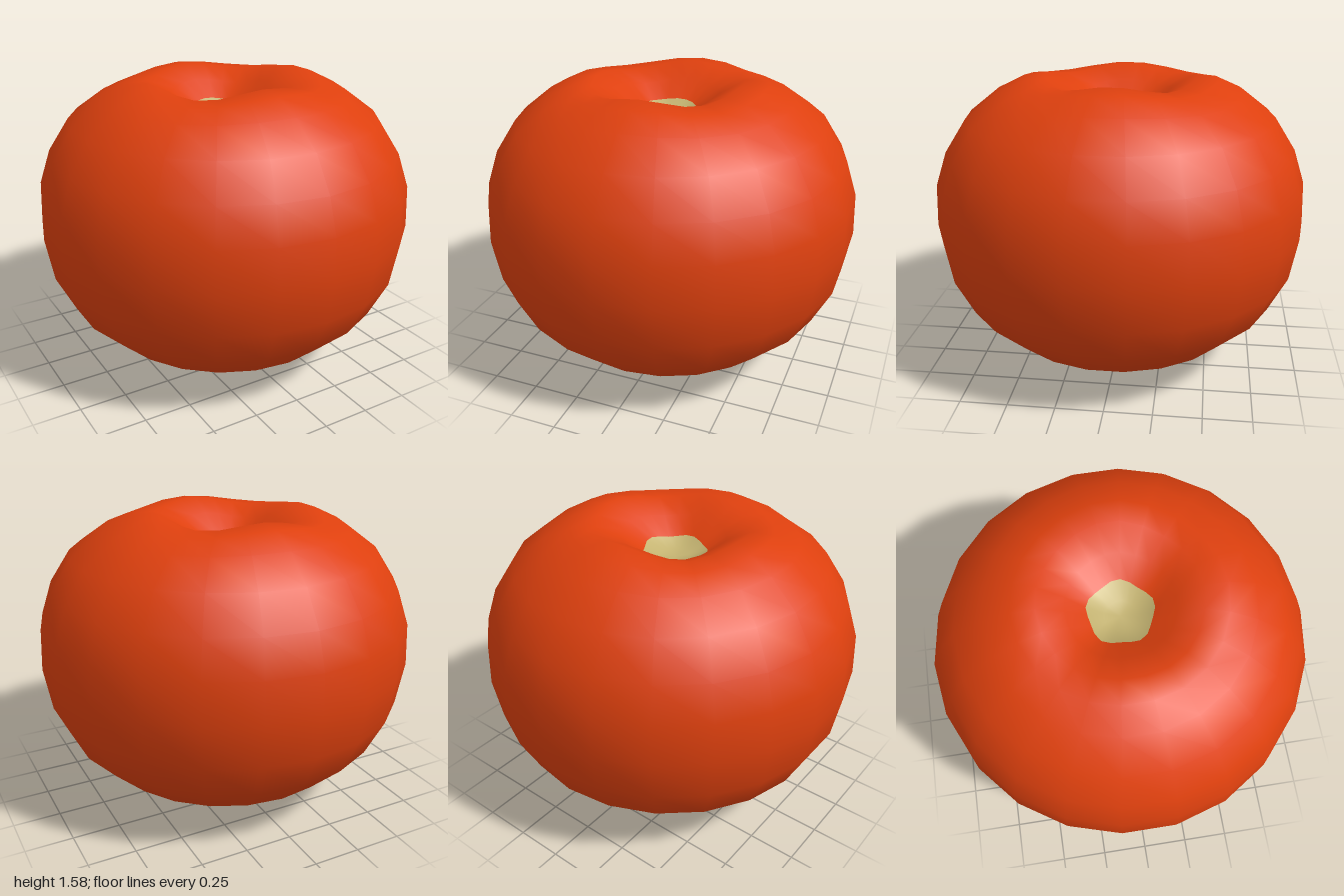
import * as THREE from 'three';
import { mergeVertices } from 'three/addons/utils/BufferGeometryUtils.js';

// Half section [radius, height] from the base up over the rim and down into the dimple
const PROFILE = [
  [0, 0.005], [0.036, 0.006], [0.22, 0.03], [0.46, 0.09], [0.67, 0.19], [0.86, 0.37],
  [0.96, 0.57], [1, 0.8], [0.99, 1.02], [0.93, 1.2], [0.82, 1.37], [0.66, 1.49],
  [0.52, 1.55], [0.4, 1.56], [0.27, 1.5], [0.165, 1.42], [0.08, 1.385], [0, 1.38],
];
const SIDES = 22;

function createFruitGeometry() {
  const lathe = new THREE.LatheGeometry(PROFILE.map(([r, y]) => new THREE.Vector2(r, y)), SIDES);
  lathe.deleteAttribute('uv');
  lathe.deleteAttribute('normal');
  const geo = mergeVertices(lathe, 1e-4);
  const pos = geo.attributes.position;

  // Sort the faces into skin and the two scars, dropping collapsed ones at the poles
  const skin = [], scar = [];
  const idx = geo.index.array;
  for (let i = 0; i < idx.length; i += 3) {
    const tri = [idx[i], idx[i + 1], idx[i + 2]];
    if (new Set(tri).size < 3) continue;
    const reach = Math.max(...tri.map((v) => Math.hypot(pos.getX(v), pos.getZ(v))));
    const top = pos.getY(tri[0]) > 1;
    (reach < (top ? 0.17 : 0.04) ? scar : skin).push(...tri);
  }
  geo.setIndex([...skin, ...scar]);
  geo.clearGroups();
  geo.addGroup(0, skin.length, 0);
  geo.addGroup(skin.length, scar.length, 1);

  // Soft lobes around the rim, a ragged scar edge and slightly off-centre poles
  for (let i = 0; i < pos.count; i++) {
    let x = pos.getX(i), y = pos.getY(i), z = pos.getZ(i);
    const r = Math.hypot(x, z), a = Math.atan2(z, x);
    if (y > 1.3) {
      const rim = Math.max(0, 1 - Math.abs(r - 0.42) / 0.35);
      y += rim * (0.022 * Math.cos(4 * a) + 0.008 * Math.cos(a));
      if (r > 0.1 && r < 0.2) {
        const ragged = 1 + 0.05 * Math.sin(5 * a + 1);
        x *= ragged;
        z *= ragged;
      }
      x -= 0.03 * Math.max(0, 1 - r / 0.8);
    } else if (y < 0.15) {
      const shift = Math.max(0, 1 - r / 0.6);
      x -= 0.08 * shift;
      z += 0.07 * shift;
    }
    pos.setXYZ(i, x, y, z);
  }
  geo.computeVertexNormals();
  return geo;
}

export function createModel() {
  const skin = new THREE.MeshStandardMaterial({ color: 0xde400e });
  skin.name = 'orange red skin';
  const scar = new THREE.MeshStandardMaterial({ color: 0xc4b371 });
  scar.name = 'pale stem scar';

  const group = new THREE.Group();
  group.name = 'tomato';
  const fruit = new THREE.Mesh(createFruitGeometry(), [skin, scar]);
  fruit.name = 'fruitBody';
  group.add(fruit);
  return group;
}
